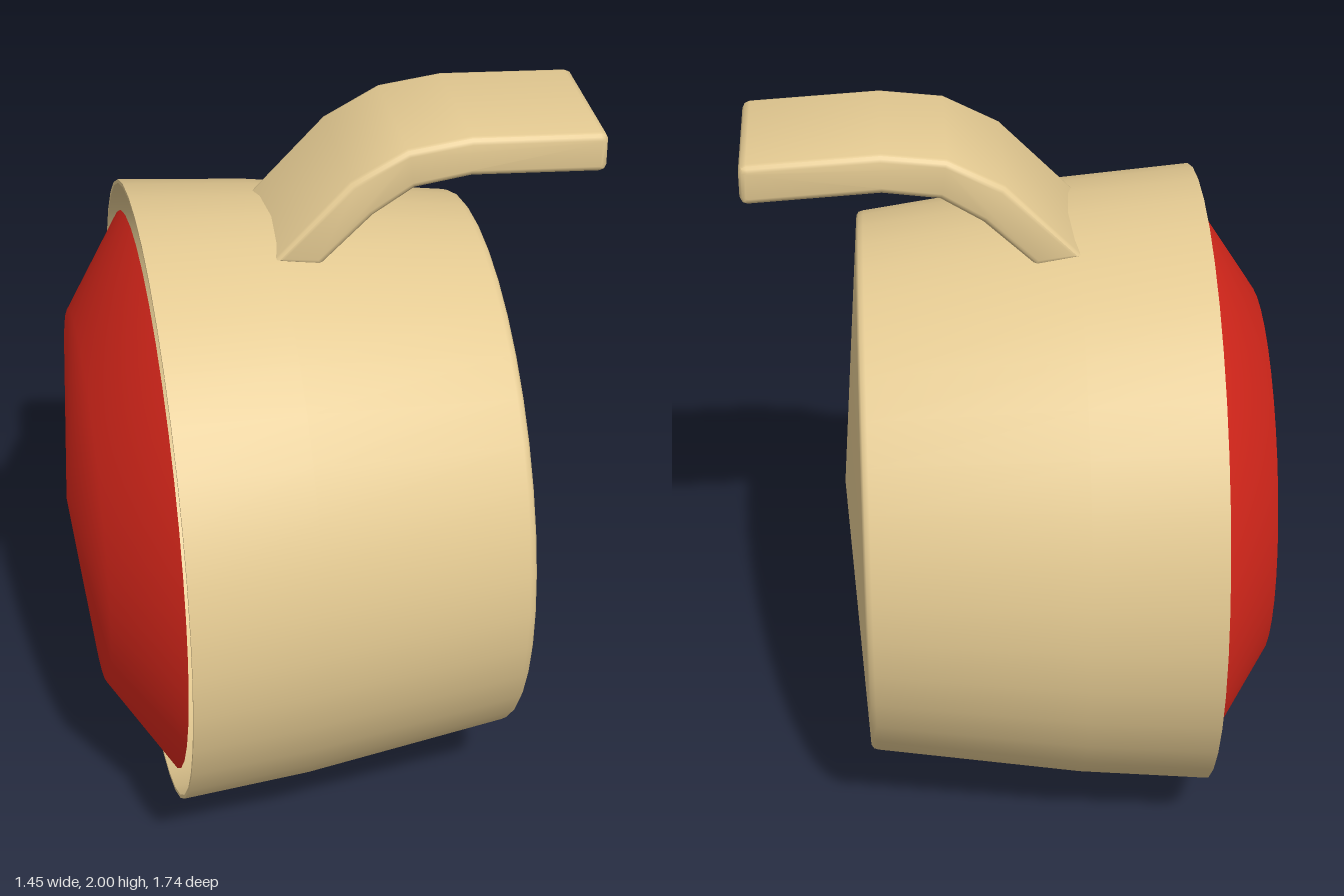
import * as THREE from 'three';
import { toCreasedNormals } from 'three/addons/utils/BufferGeometryUtils.js';

const AXIS_Y = 0.875;

// Revolve [radius, x] points around a horizontal axis parallel to x
function turned(name, profile, material) {
  const points = profile.map(([r, x]) => new THREE.Vector2(r, x));
  const geometry = new THREE.LatheGeometry(points, 40).rotateZ(-Math.PI / 2);
  const mesh = new THREE.Mesh(toCreasedNormals(geometry, 0.8), material);
  mesh.name = name;
  mesh.position.y = AXIS_Y;
  return mesh;
}

export function createModel() {
  const group = new THREE.Group();
  group.name = 'lamp';

  const tan = new THREE.MeshStandardMaterial({ color: 0xe4ca92, side: THREE.DoubleSide });
  tan.name = 'tan';
  const red = new THREE.MeshStandardMaterial({ color: 0xdd281c, side: THREE.DoubleSide });
  red.name = 'red';

  // Hollow housing: inner wall, thin rim, outer wall, rounded edge, shallow conical end
  group.add(turned('housing', [
    [0, 0.46], [0.74, 0.41], [0.83, -0.15], [0.862, -0.5],
    [0.872, -0.5], [0.842, -0.15], [0.762, 0.415],
    [0.758, 0.428], [0.749, 0.434], [0.735, 0.435], [0, 0.488],
  ], tan));

  // Domed lens floating in the open end
  group.add(turned('lens', [[0, -0.727], [0.525, -0.67], [0.787, -0.5]], red));

  // Bent slab handle, side profile extruded across z with softened edges
  const outline = new THREE.Shape([
    [-0.04, 1.665], [0.1, 1.8], [0.21, 1.87], [0.36, 1.89],
    [0.705, 1.868], [0.719, 1.873], [0.725, 1.887],
    [0.725, 1.96], [0.719, 1.973], [0.705, 1.979],
    [0.36, 2.0], [0.19, 1.98], [0.04, 1.9], [-0.16, 1.69],
  ].map(([x, y]) => new THREE.Vector2(x, y)));
  const bevel = 0.018;
  const slab = new THREE.ExtrudeGeometry(outline, {
    depth: 0.4 - 2 * bevel, bevelEnabled: true, bevelSize: bevel,
    bevelThickness: bevel, bevelOffset: -bevel, bevelSegments: 3,
  }).translate(0, 0, -0.2 + bevel);
  const handle = new THREE.Mesh(toCreasedNormals(slab, 0.8), tan);
  handle.name = 'handle';
  group.add(handle);

  return group;
}
